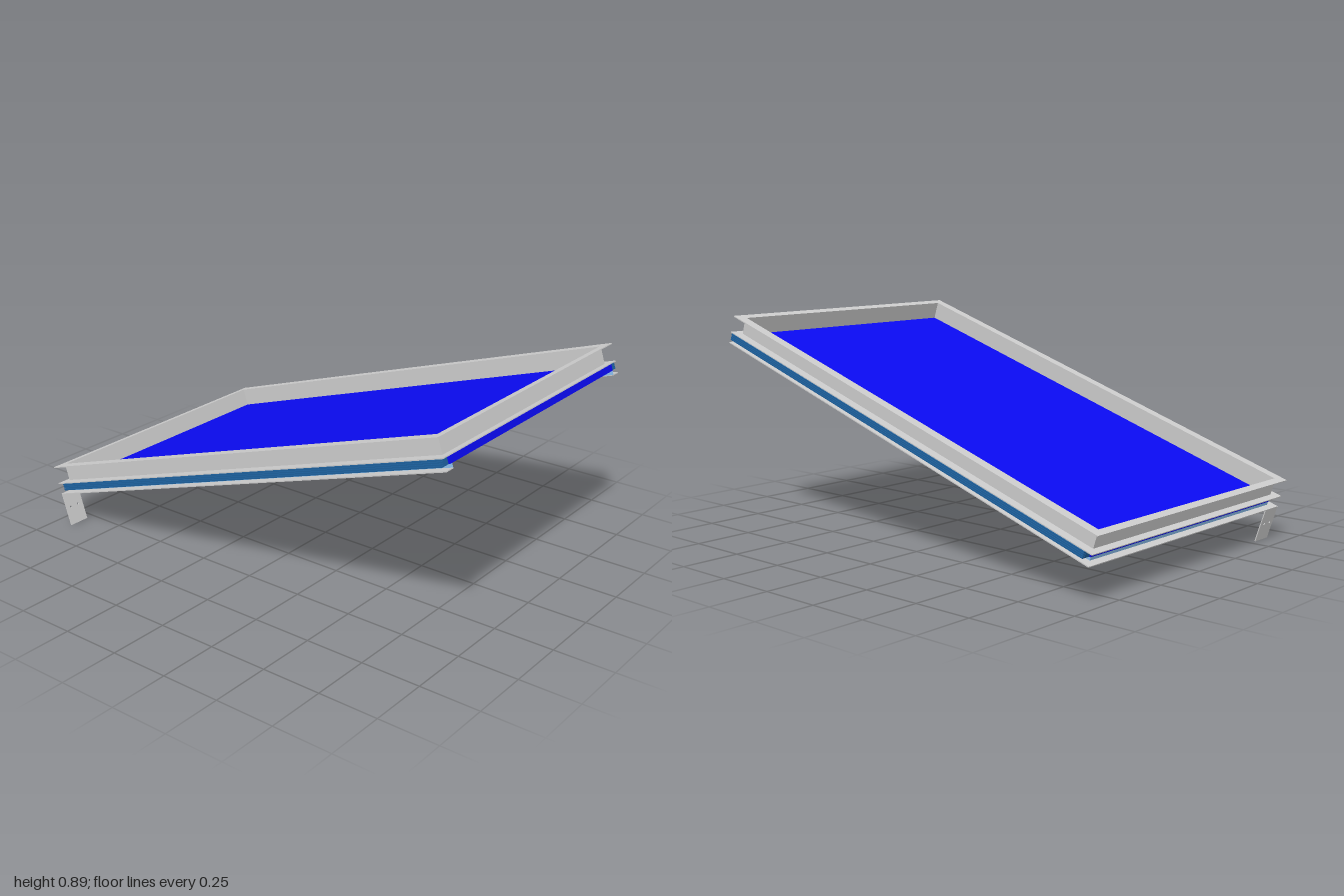
import * as THREE from 'three';

export function createModel() {
  const model = new THREE.Group();
  // everything is built flat, then tilted: x along the slope, y normal to it
  const tilted = new THREE.Group();
  tilted.name = 'tiltedFrame';
  tilted.rotation.z = THREE.MathUtils.degToRad(18);
  model.add(tilted);

  const mat = (color) => new THREE.MeshStandardMaterial({ color, side: THREE.DoubleSide });
  const grey = mat(0xcccccc);
  const blue = mat(0x0a0af0);
  const seal = mat(0x1c5f9c);
  const paleBlue = mat(0x8cc0ee);

  const T = 0.004; // sheet thickness
  const X0 = -0.873, X1 = 1.19, Z = 0.627; // outer outline
  const WX0 = -0.84, WX1 = 1.157, WZ = 0.583; // web outline

  const add = (name, geometry, material) => {
    const mesh = new THREE.Mesh(geometry, material);
    mesh.name = name;
    tilted.add(mesh);
    return mesh;
  };
  const pts = (list) => list.map(([x, y]) => new THREE.Vector2(x, y));
  const rect = (a, b, w) => pts([[a, -w], [b, -w], [b, w], [a, w]]);

  // plan outline raised from y0 to y1
  const slab = (name, outline, hole, y0, y1, material) => {
    const shape = new THREE.Shape(outline);
    if (hole) shape.holes.push(new THREE.Path(hole));
    const g = new THREE.ExtrudeGeometry(shape, { depth: y1 - y0, bevelEnabled: false });
    g.rotateX(-Math.PI / 2).translate(0, y0, 0);
    return add(name, g, material);
  };
  // (z, y) section run along the slope from x0 to x1
  const run = (name, shape, x0, x1, material) => {
    const g = new THREE.ExtrudeGeometry(shape, { depth: x1 - x0, bevelEnabled: false });
    g.rotateY(-Math.PI / 2).translate(x1, 0, 0);
    return add(name, g, material);
  };
  // U-shaped strip, open at the high end
  const openStrip = (ox, oz, ix, iz) => pts([
    [X1, -oz], [ox, -oz], [ox, oz], [X1, oz], [X1, iz], [ix, iz], [ix, -iz], [X1, -iz],
  ]);

  // upper frame: channel with both flanges turned outward
  const inner = rect(WX0, WX1, WZ);
  slab('topFlange', rect(X0, X1, Z), inner, 0.549 - T, 0.549, grey);
  slab('upperWeb', rect(WX0 - T, WX1 + T, WZ + T), inner, 0.472, 0.549, grey);
  slab('middleFlange', rect(X0, X1, Z), inner, 0.472, 0.472 + T, grey);

  // panel clamped between the upper and lower frames
  slab('panel', rect(WX0 - 0.006, X1 - 0.002, WZ + 0.008), null, 0.444, 0.471, blue);

  // lower frame on three sides
  slab('lowerFlange', openStrip(X0, Z, WX0, WZ), null, 0.425, 0.425 + T, grey);
  slab('lowerWeb', openStrip(WX0 - T, WZ + T, WX0, WZ), null, 0.427, 0.444, paleBlue);

  // ribbed seals along both long sides
  for (const s of [1, -1]) {
    const a = WZ + 0.006, root = Z - 0.012, tip = Z + 0.003;
    const section = [[a, 0.443]];
    for (let i = 0; i < 4; i++) {
      const y = 0.443 + i * 0.0075;
      section.push([tip, y], [tip, y + 0.0055]);
      if (i < 3) section.push([root, y + 0.0055], [root, y + 0.0075]);
    }
    section.push([a, 0.471]);
    run(s > 0 ? 'frontSeal' : 'backSeal',
      new THREE.Shape(pts(section.map(([z, y]) => [z * s, y]))), WX0, 1.18, seal);
  }

  // single drilled leg plate at the low front corner
  const leg = new THREE.Shape(pts([[0.535, 0.283], [Z, 0.283], [Z, 0.427], [0.535, 0.427]]));
  for (const z of [0.562, 0.602]) {
    leg.holes.push(new THREE.Path().absarc(z, 0.36, 0.005, 0, Math.PI * 2, true));
  }
  run('leg', leg, X0 + 0.001, X0 + 0.005, grey);

  return model;
}
